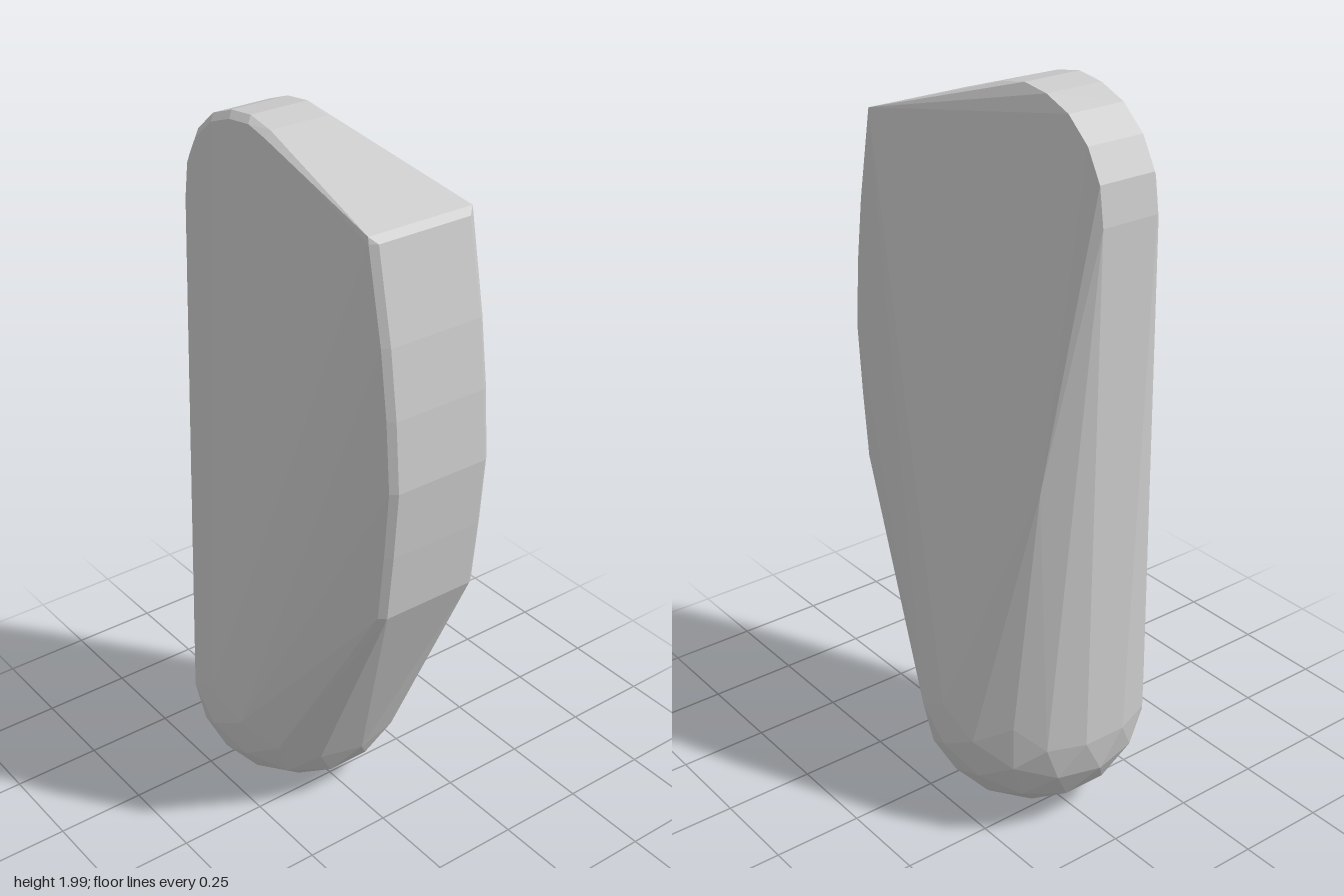
import * as THREE from 'three';
import { ConvexGeometry } from 'three/addons/geometries/ConvexGeometry.js';

export function createModel() {
  const group = new THREE.Group();
  const points = [];
  const add = (x, y, z) => points.push(new THREE.Vector3(x, y, z));

  // rounded foot: a faceted ball at the bottom
  const ball = new THREE.IcosahedronGeometry(0.31, 2).translate(-0.14, 0.31, 0);
  const pos = ball.attributes.position;
  const seen = new Set();
  for (let i = 0; i < pos.count; i++) {
    const p = [pos.getX(i), pos.getY(i), pos.getZ(i)].map((v) => +v.toFixed(4));
    const key = p.join();
    if (!seen.has(key)) add(...p);
    seen.add(key);
  }

  // rounded shoulder: bevelled in front, cut back behind
  const shoulder = [[-0.42, 1.72], [-0.405, 1.82], [-0.36, 1.9], [-0.29, 1.96],
    [-0.21, 1.99], [-0.13, 2], [-0.05, 1.985]];
  for (const [x, y] of shoulder) {
    add(x, y, 0.135);
    add(x + (x < -0.1 ? 0.015 : 0), y - 0.015, 0.153);
    add(x, y, -0.032);
  }

  // bowed edge with a small bevel on both faces
  const bow = [[0.36, 1.84], [0.41, 1.6], [0.435, 1.42], [0.45, 1.23], [0.435, 1.04], [0.415, 0.85]];
  for (const [x, y] of bow) {
    for (const s of [-1, 1]) {
      add(x, y, s * 0.135);
      add(x - 0.015, y, s * 0.153);
    }
  }

  // pointed upper corner
  add(0.34, 1.855, 0.15);
  add(0.34, 1.855, -0.157);

  // ridge point on the back
  add(-0.36, 1.05, -0.16);

  const body = new THREE.Mesh(
    new ConvexGeometry(points),
    new THREE.MeshStandardMaterial({ color: 0xcccccc, flatShading: true })
  );
  body.name = 'body';
  group.add(body);
  return group;
}
